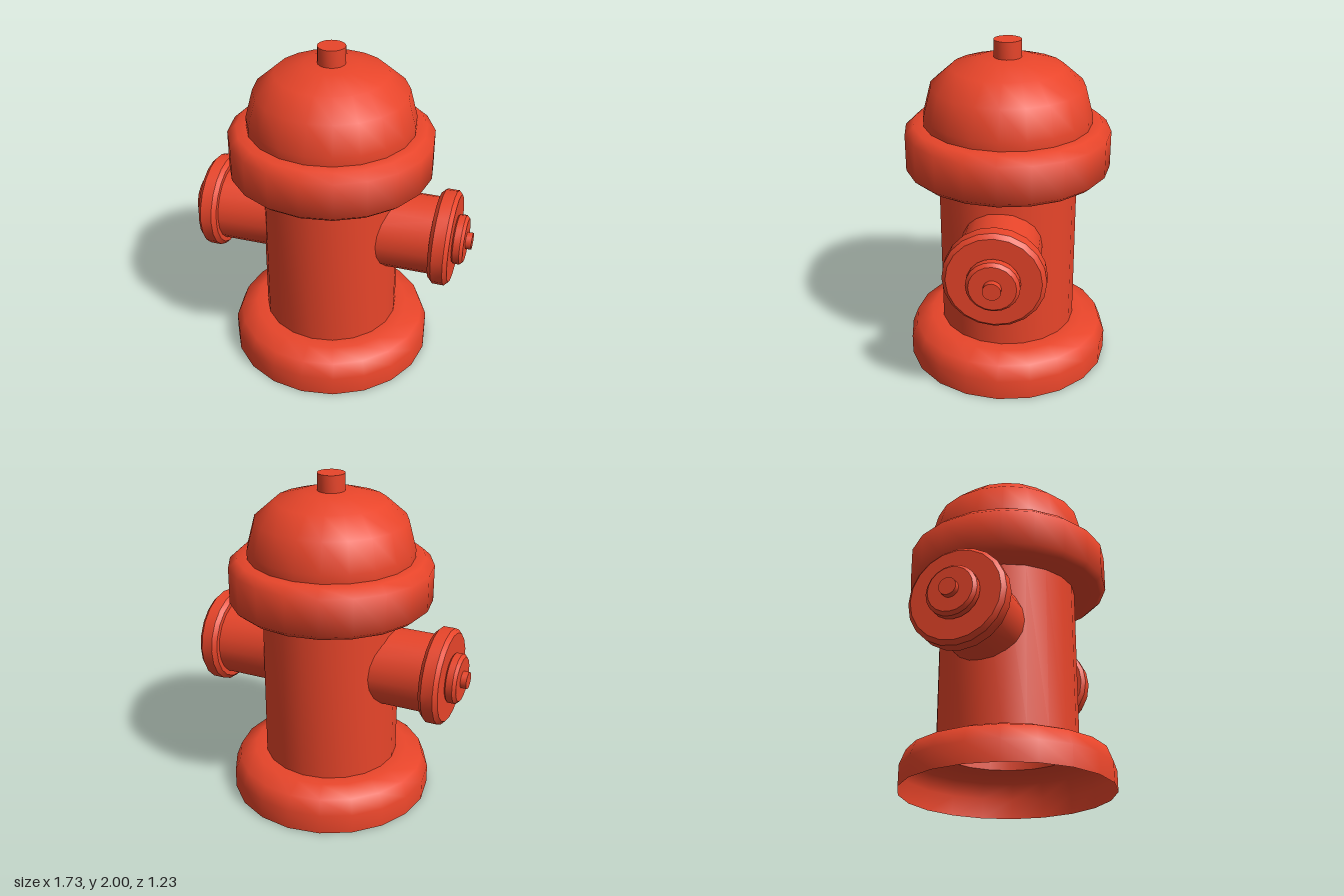
import * as THREE from 'three';
import { toCreasedNormals } from 'three/addons/utils/BufferGeometryUtils.js';

const SIDES = 20;
const paint = new THREE.MeshStandardMaterial({ color: 0xe8452a, side: THREE.DoubleSide });

// Turned part from [radius, height] pairs, bottom to top
function turned(name, profile, crease = 0.9) {
  const points = profile.map(([r, y]) => new THREE.Vector2(r, y));
  const geometry = toCreasedNormals(new THREE.LatheGeometry(points, SIDES), crease);
  const mesh = new THREE.Mesh(geometry, paint);
  mesh.name = name;
  return mesh;
}

// Closed disc with chamfered rims
function chamferedDisc(name, radius, from, to, c) {
  return turned(name, [
    [0, from], [radius - c, from], [radius, from + c],
    [radius, to - c], [radius - c, to], [0, to],
  ], 0.6);
}

// Side outlet, built upward and then laid along the x axis
function createOutlet(name, side) {
  const outlet = new THREE.Group();
  outlet.name = name;
  outlet.add(
    turned('outletPipe', [[0.233, 0.32], [0.233, 0.66]]),
    chamferedDisc('outletFlange', 0.285, 0.65, 0.765, 0.023),
    chamferedDisc('outletCap', 0.148, 0.755, 0.83, 0.018),
    turned('outletNut', [[0.05, 0.82], [0.05, 0.865], [0, 0.865]]),
  );
  outlet.rotation.z = -side * Math.PI / 2;
  outlet.position.y = 0.88;
  return outlet;
}

export function createModel() {
  const hydrant = new THREE.Group();
  hydrant.name = 'hydrant';
  hydrant.add(
    // Hollow foot, open underneath
    turned('base', [[0.615, 0], [0.615, 0.12], [0.58, 0.21], [0.48, 0.25], [0.41, 0.25]]),
    turned('barrel', [[0.41, 0.25], [0.41, 1.23]]),
    turned('collar', [
      [0.41, 1.23], [0.565, 1.23], [0.6, 1.26], [0.6, 1.475], [0.55, 1.52], [0.48, 1.52],
    ]),
    turned('dome', [
      [0.49, 1.52], [0.49, 1.57], [0.445, 1.74], [0.325, 1.845], [0.16, 1.895], [0, 1.905],
    ]),
    turned('topNut', [[0.08, 1.88], [0.08, 2], [0, 2]]),
    createOutlet('leftOutlet', 1),
    createOutlet('rightOutlet', -1),
  );
  return hydrant;
}
